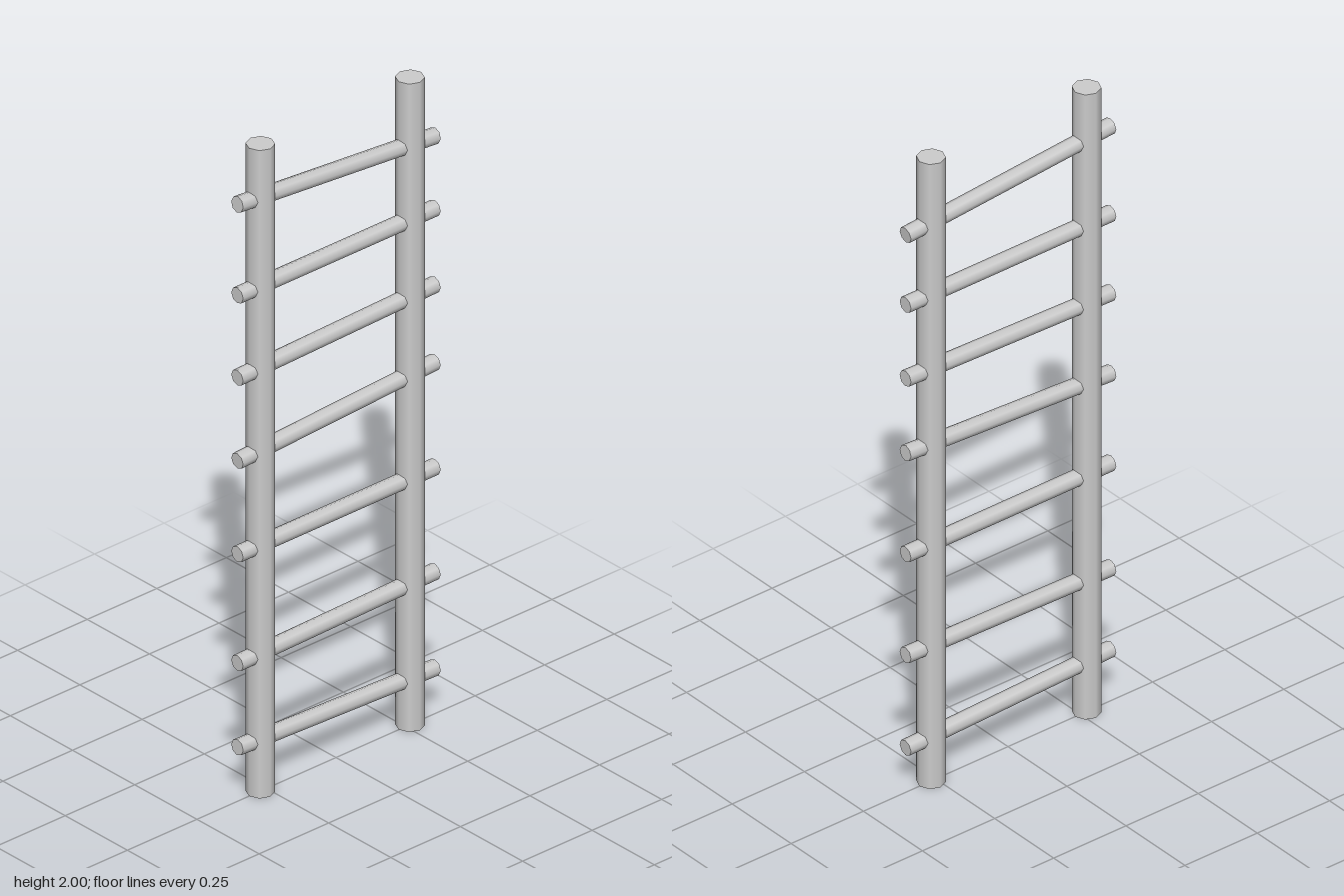
import * as THREE from 'three';

const material = new THREE.MeshStandardMaterial({ color: 0xcccccc });

// Eight-sided smooth pole running from point a to point b
function pole(name, a, b, radius) {
  const axis = b.clone().sub(a);
  const length = axis.length();
  const mesh = new THREE.Mesh(new THREE.CylinderGeometry(radius, radius, length, 8), material);
  mesh.name = name;
  mesh.position.copy(a).add(b).multiplyScalar(0.5);
  mesh.quaternion.setFromUnitVectors(new THREE.Vector3(0, 1, 0), axis.normalize());
  return mesh;
}

export function createModel() {
  const ladder = new THREE.Group();
  ladder.name = 'ladder';

  // Upright rails
  for (const [name, z] of [['frontRail', 0.272], ['backRail', -0.266]]) {
    ladder.add(pole(name, new THREE.Vector3(0, 0, z), new THREE.Vector3(0, 2, z), 0.04));
  }

  // Uneven rungs: height at the front end, height at the back end
  const rungs = [
    [0.167, 0.143], [0.427, 0.44], [0.763, 0.763], [1.051, 1.087],
    [1.308, 1.326], [1.562, 1.562], [1.843, 1.785],
  ];
  rungs.forEach(([front, back], i) => {
    ladder.add(pole(`rung${i + 1}`,
      new THREE.Vector3(0, front, 0.355), new THREE.Vector3(0, back, -0.355), 0.024));
  });

  return ladder;
}
